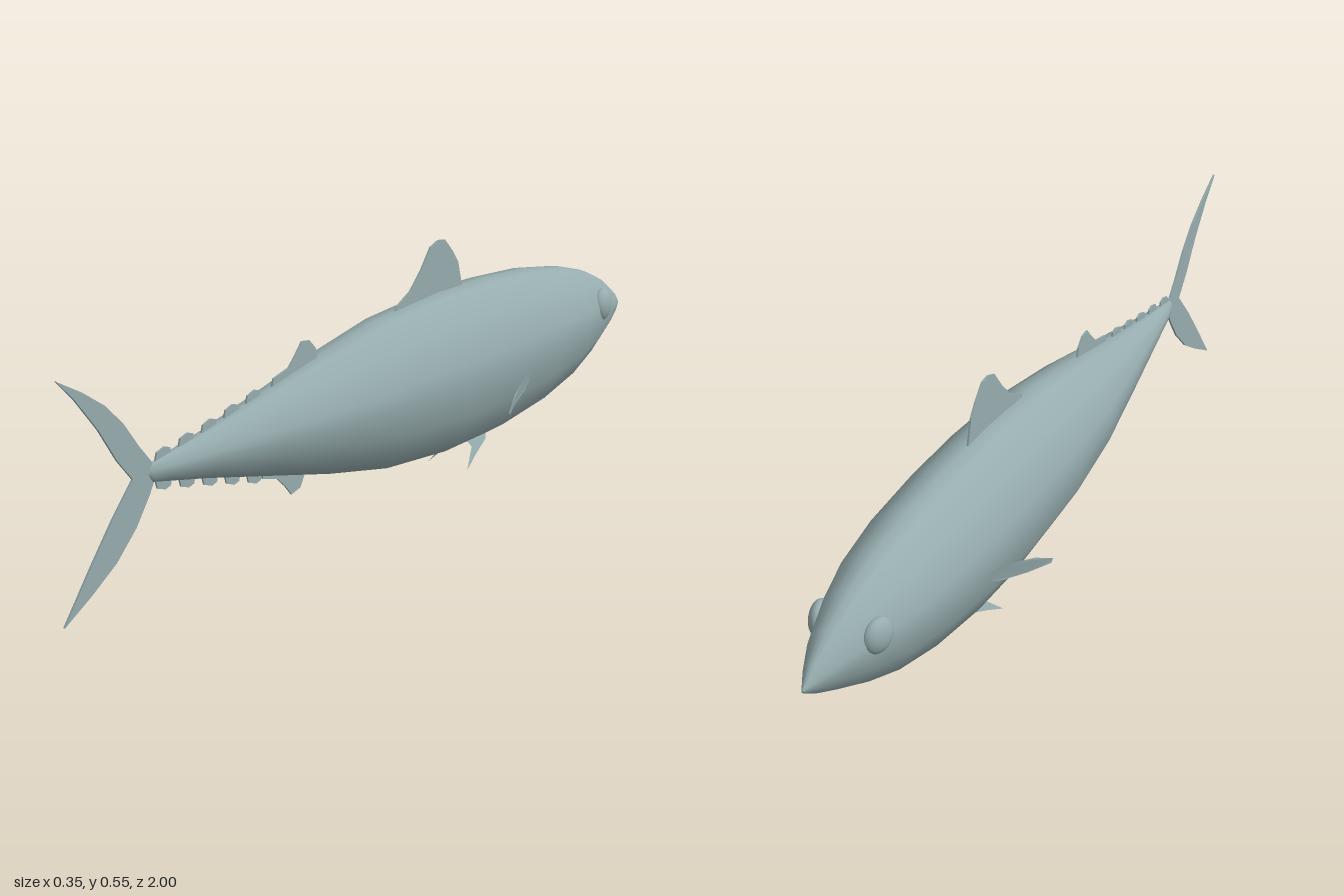
import * as THREE from 'three';

const skin = new THREE.MeshStandardMaterial({ color: 0x96acae, side: THREE.DoubleSide });
skin.name = 'blue grey skin';

// Body stations: z, top y, bottom y, half width
const STATIONS = [
  [-1, 0.254, 0.246, 0.003], [-0.96, 0.29, 0.22, 0.024], [-0.9, 0.33, 0.19, 0.05],
  [-0.82, 0.367, 0.152, 0.076], [-0.72, 0.395, 0.115, 0.1], [-0.58, 0.417, 0.082, 0.116],
  [-0.4, 0.428, 0.058, 0.123], [-0.22, 0.428, 0.053, 0.124], [0, 0.412, 0.069, 0.118],
  [0.2, 0.376, 0.108, 0.1], [0.4, 0.334, 0.155, 0.068], [0.58, 0.297, 0.197, 0.038],
  [0.7, 0.277, 0.222, 0.018], [0.74, 0.27, 0.23, 0.009], [0.752, 0.254, 0.246, 0.002],
];
// Half of the cross-section, from the back down to the belly
const HALF = [[0, 1], [0.28, 0.97], [0.73, 0.72], [0.97, 0.27], [1, 0], [0.9, -0.43], [0.53, -0.86], [0.23, -0.985], [0, -1]];
const RING = [...HALF, ...HALF.slice(1, -1).reverse().map(([x, y]) => [-x, y])];

// Linear lookup of one station column at a given z
function station(z, column) {
  const i = Math.max(1, STATIONS.findIndex((s) => s[0] >= z));
  const [a, b] = [STATIONS[i - 1], STATIONS[i]];
  return a[column] + ((b[column] - a[column]) * (z - a[0])) / (b[0] - a[0]);
}

function bodyGeometry() {
  const n = RING.length, positions = [], index = [];
  for (const [z, top, bottom, half] of STATIONS)
    for (const [x, y] of RING) positions.push(x * half, (top + bottom) / 2 + (y * (top - bottom)) / 2, z);
  for (let i = 0; i < STATIONS.length - 1; i++)
    for (let j = 0; j < n; j++) {
      const a = i * n + j, c = i * n + ((j + 1) % n);
      index.push(a, a + n, c, c, a + n, c + n);
    }
  // End caps
  const last = (STATIONS.length - 1) * n;
  for (let j = 1; j < n - 1; j++) index.push(0, j, j + 1, last, last + j + 1, last + j);
  const g = new THREE.BufferGeometry();
  g.setAttribute('position', new THREE.Float32BufferAttribute(positions, 3));
  g.setIndex(index);
  g.computeVertexNormals();
  return g;
}

// Upright fin from a [z, y] outline
function midFin(points, depth = 0.004) {
  const shape = new THREE.Shape(points.map(([z, y]) => new THREE.Vector2(z, y)));
  const g = new THREE.ExtrudeGeometry(shape, { depth, bevelEnabled: false });
  g.translate(0, 0, -depth / 2);
  g.rotateY(-Math.PI / 2);
  return g;
}

// Thin paired fin from [x, y, z] outline points
function sideFin(points, side) {
  const faces = THREE.ShapeUtils.triangulateShape(points.map(([, y, z]) => new THREE.Vector2(z, y)), []);
  const g = new THREE.BufferGeometry();
  g.setAttribute('position', new THREE.Float32BufferAttribute(points.flatMap(([x, y, z]) => [x * side, y, z]), 3));
  g.setIndex(faces.flatMap(([a, b, c]) => (side > 0 ? [a, c, b] : [a, b, c])));
  g.computeVertexNormals();
  return g;
}

export function createModel() {
  const fish = new THREE.Group();
  fish.name = 'fish';
  const add = (name, geometry) => {
    const mesh = new THREE.Mesh(geometry, skin);
    mesh.name = name;
    fish.add(mesh);
    return mesh;
  };

  add('body', bodyGeometry());

  // Fins along the back and belly
  add('dorsalFin', midFin([[-0.05, 0.4], [-0.07, 0.426], [-0.12, 0.452], [-0.16, 0.492], [-0.195, 0.538], [-0.225, 0.549],
    [-0.25, 0.546], [-0.28, 0.515], [-0.302, 0.485], [-0.32, 0.42], [-0.3, 0.4]]));
  add('rearDorsalFin', midFin([[0.37, 0.33], [0.36, 0.358], [0.31, 0.37], [0.285, 0.395], [0.265, 0.418], [0.24, 0.415],
    [0.22, 0.395], [0.205, 0.35]]));
  add('analFin', midFin([[0.24, 0.14], [0.262, 0.118], [0.275, 0.095], [0.305, 0.087], [0.325, 0.11], [0.35, 0.133],
    [0.4, 0.147], [0.4, 0.17]]));

  // Small finlets on both edges of the tail stem
  for (let i = 0; i < 5; i++) {
    const z = 0.4 + i * 0.07;
    for (const [name, column, up] of [['upperFinlet', 1, 1], ['lowerFinlet', 2, -1]]) {
      const outline = [[0, -0.015], [0.006, 0.01], [0.022, 0.018], [0.045, 0.015], [0.055, -0.015]];
      add(name, midFin(outline.map(([dz, dy]) => [z + dz, station(z + dz, column) + up * dy])));
    }
  }

  // Forked tail
  add('tailFin', midFin([[0.725, 0.25], [0.74, 0.272], [0.775, 0.312], [0.82, 0.372], [0.87, 0.42], [0.93, 0.46], [1, 0.498],
    [0.95, 0.448], [0.89, 0.375], [0.84, 0.3], [0.797, 0.25], [0.86, 0.18], [0.92, 0.105], [1, 0],
    [0.92, 0.045], [0.85, 0.09], [0.79, 0.148], [0.75, 0.205]], 0.005));

  // Paired fins and eyes
  for (const [prefix, side] of [['left', 1], ['right', -1]]) {
    add(prefix + 'PectoralFin', sideFin([[0.11, 0.223, -0.47], [0.133, 0.215, -0.39], [0.155, 0.192, -0.315], [0.174, 0.166, -0.265],
      [0.173, 0.157, -0.27], [0.145, 0.158, -0.325], [0.125, 0.178, -0.4], [0.108, 0.2, -0.455]], side));
    add(prefix + 'PelvicFin', sideFin([[0.022, 0.07, -0.39], [0.027, 0.065, -0.3], [0.036, 0.045, -0.315], [0.056, 0.002, -0.27],
      [0.044, 0.025, -0.32], [0.033, 0.048, -0.375]], side));
    const eye = add(prefix + 'Eye', new THREE.SphereGeometry(0.04, 20, 12));
    eye.scale.x = 0.55;
    eye.position.set(side * 0.065, 0.288, -0.822);
    eye.rotation.y = side * 0.25;
  }
  return fish;
}
